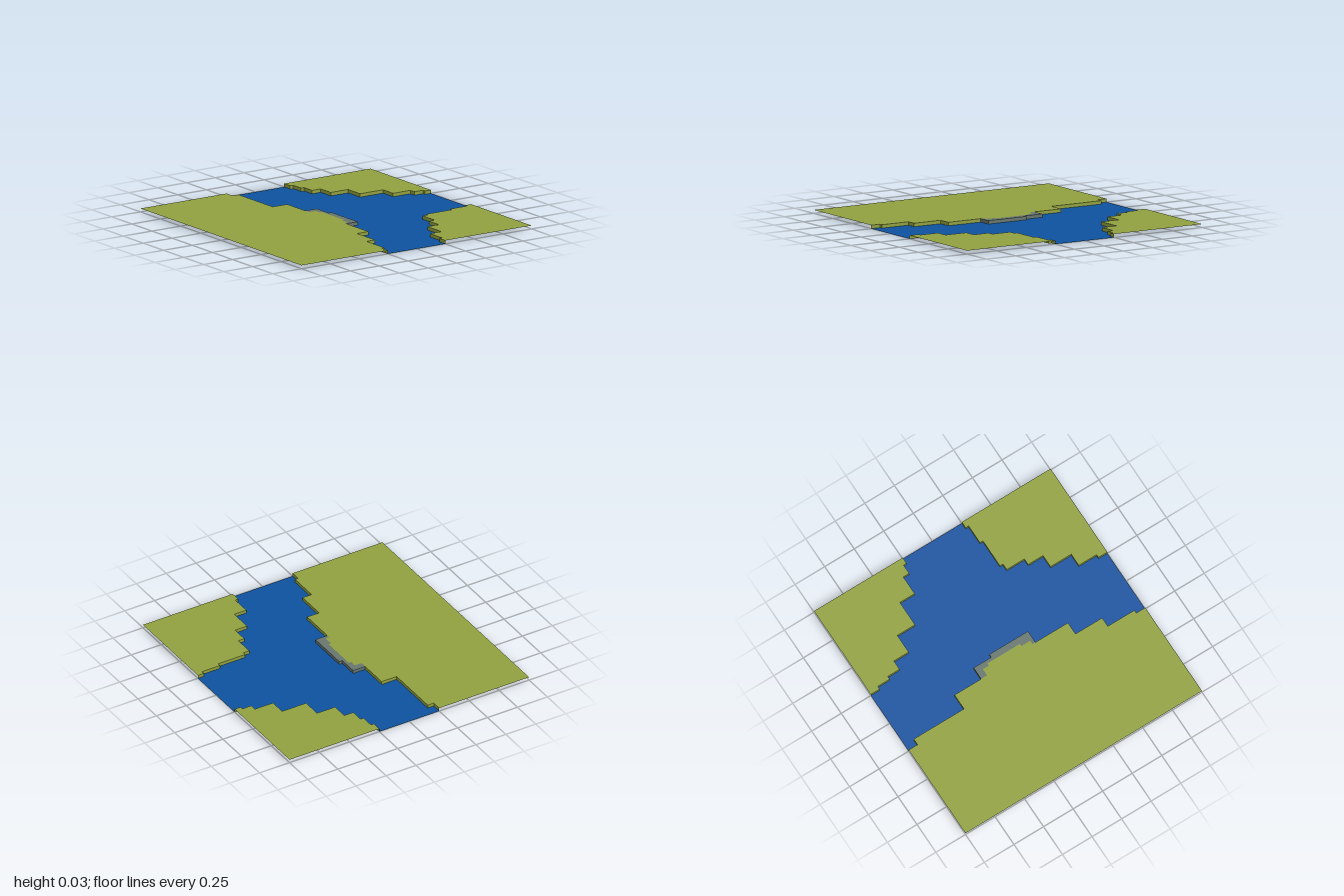
import * as THREE from 'three';

const LAND_Y = 0.025;

const flat = (name, color) => {
  const m = new THREE.MeshStandardMaterial({ color, side: THREE.DoubleSide });
  m.name = name;
  return m;
};

// Stepped shoreline: start point, then alternate moves along the two axes.
function steps(x, z, firstAxis, values) {
  const pts = [[x, z]];
  let axis = firstAxis;
  for (const v of values) {
    if (axis === 'x') x = v; else z = v;
    pts.push([x, z]);
    axis = axis === 'x' ? 'z' : 'x';
  }
  return pts;
}

// Horizontal sheet, facing up, from an outline of [x, z] points.
function sheet(name, outline, y, material) {
  const shape = new THREE.Shape(outline.map(([x, z]) => new THREE.Vector2(x, -z)));
  const mesh = new THREE.Mesh(new THREE.ShapeGeometry(shape).rotateX(-Math.PI / 2), material);
  mesh.position.y = y;
  mesh.name = name;
  return mesh;
}

// Vertical wall along a path, from the water up to the land.
function wall(name, path, material) {
  const pos = [];
  for (let i = 0; i < path.length - 1; i++) {
    const [ax, az] = path[i], [bx, bz] = path[i + 1];
    pos.push(ax, 0, az, bx, 0, bz, bx, LAND_Y, bz);
    pos.push(ax, 0, az, bx, LAND_Y, bz, ax, LAND_Y, az);
  }
  const g = new THREE.BufferGeometry();
  g.setAttribute('position', new THREE.Float32BufferAttribute(pos, 3));
  g.computeVertexNormals();
  const mesh = new THREE.Mesh(g, material);
  mesh.name = name;
  return mesh;
}

export function createModel() {
  const grass = flat('grass green', 0x92a140);
  const water = flat('river blue', 0x0c529f);
  const stone = flat('stone grey', 0x68766f);

  // Shorelines of the three banks
  const backRight = steps(-1, -0.25, 'x', [-0.925, -0.275, -0.825, -0.3, -0.725, -0.375, -0.6,
    -0.525, -0.45, -0.725, -0.325, -0.875, -0.275, -0.95, -0.25, -1]);
  const backLeft = steps(0.25, -1, 'z', [-0.95, 0.275, -0.8, 0.3, -0.575, 0.325, -0.525, 0.475,
    -0.475, 0.6, -0.375, 0.775, -0.275, 0.925, -0.25, 1]);
  const frontEast = steps(1, 0.25, 'x', [0.925, 0.225, 0.7, 0.15, 0.475, 0.05, 0.2]);
  const frontWest = steps(-0.275, 0.075, 'x', [-0.5, 0.2, -0.925, 0.25, -1]);

  // Stone ledge: river edge and the edge where it meets the grass
  const ledgeOuter = steps(0.2, 0.05, 'z', [-0.05, -0.125, -0.025, -0.275, 0.075]);
  const ledgeInner = steps(0.2, 0.05, 'x', [0.175, 0.02, 0.1, 0, -0.175, 0.02, -0.225, 0.075, -0.275]);

  const model = new THREE.Group();
  model.name = 'riverJunction';
  model.add(
    sheet('river', [...backRight, ...backLeft, ...frontEast, ...ledgeOuter, ...frontWest], 0, water),
    sheet('backRightLand', [...backRight, [-1, -1]], LAND_Y, grass),
    sheet('backLeftLand', [...backLeft, [1, -1]], LAND_Y, grass),
    sheet('frontLand', [...frontEast, ...ledgeInner.slice(1, -1), ...frontWest, [-1, 1], [1, 1]], LAND_Y, grass),
    sheet('stoneLedge', [...ledgeOuter, ...ledgeInner.slice(1, -1).reverse()], LAND_Y, stone),
    wall('backRightBank', backRight, grass),
    wall('backLeftBank', backLeft, grass),
    wall('frontLeftBank', frontEast, grass),
    wall('frontRightBank', frontWest, grass),
    wall('stoneBank', ledgeOuter, stone),
  );
  return model;
}
